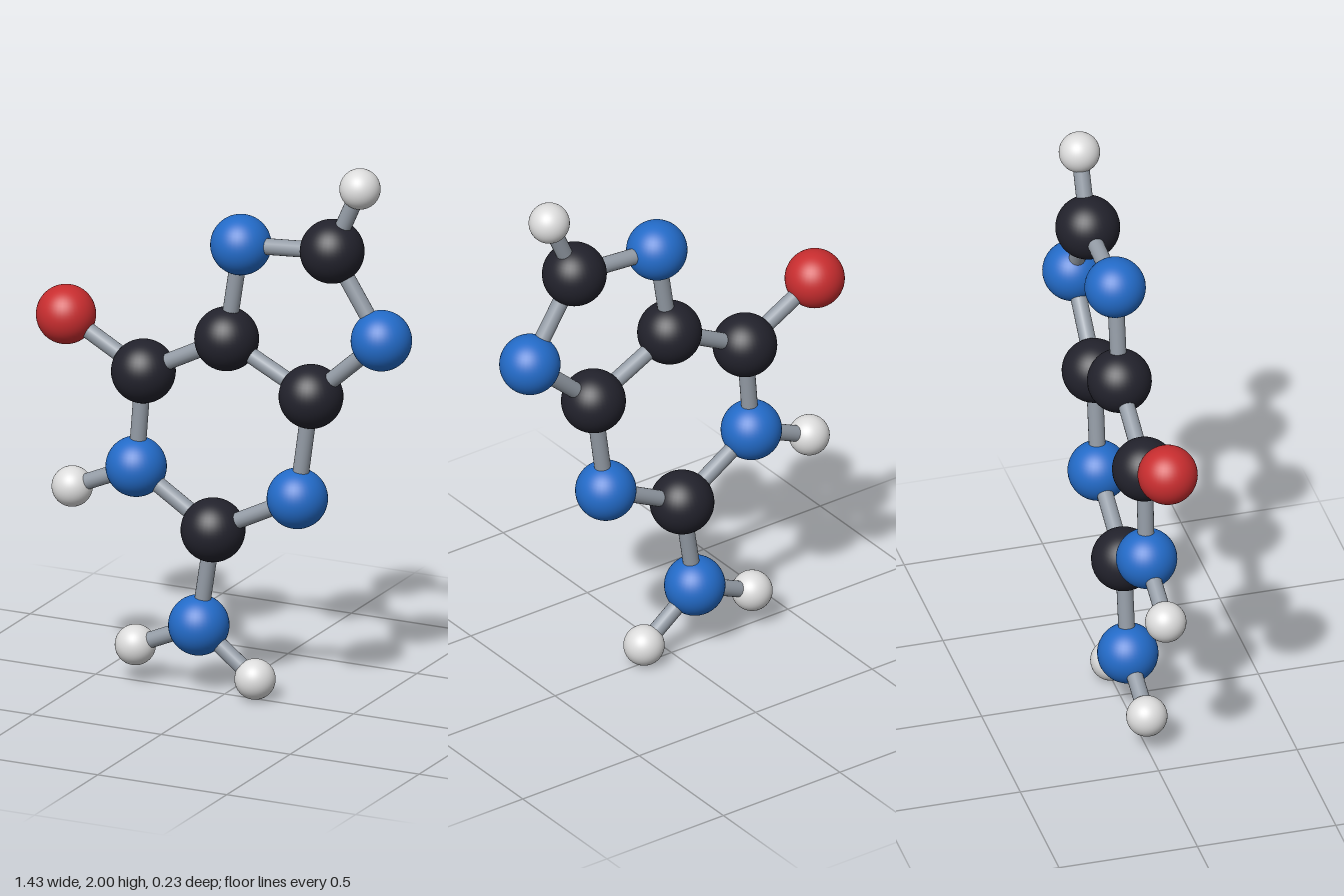
import * as THREE from 'three';

const material = (name, color) => new THREE.MeshStandardMaterial({ name, color });

export function createModel() {
  const model = new THREE.Group();
  model.name = 'ballAndStickModel';

  // Ball kinds: radius and colour
  const kinds = {
    carbon: { radius: 0.113, mat: material('charcoal', 0x22222c) },
    nitrogen: { radius: 0.107, mat: material('blue', 0x236bc8) },
    oxygen: { radius: 0.105, mat: material('red', 0xc82d2f) },
    hydrogen: { radius: 0.072, mat: material('offWhite', 0xdcdcdc) },
  };
  const bondMat = material('grey', 0x949ca6);
  for (const kind of Object.values(kinds)) {
    kind.geometry = new THREE.SphereGeometry(kind.radius, 40, 28);
  }

  // Balls, all in the plane z = 0
  const atoms = {
    C2: ['carbon', -0.045, 0.596],
    C4: ['carbon', 0.335, 1.14],
    C5: ['carbon', 0.008, 1.304],
    C6: ['carbon', -0.315, 1.139],
    C8: ['carbon', 0.417, 1.684],
    N1: ['nitrogen', -0.343, 0.786],
    N2: ['nitrogen', -0.1, 0.24],
    N3: ['nitrogen', 0.282, 0.759],
    N7: ['nitrogen', 0.063, 1.657],
    N9: ['nitrogen', 0.608, 1.384],
    O6: ['oxygen', -0.615, 1.304],
    H1: ['hydrogen', -0.591, 0.677],
    H2: ['hydrogen', -0.346, 0.132],
    H3: ['hydrogen', 0.118, 0.073],
    H8: ['hydrogen', 0.525, 1.928],
  };
  const centre = {};
  for (const [id, [kind, x, y]] of Object.entries(atoms)) {
    const ball = new THREE.Mesh(kinds[kind].geometry, kinds[kind].mat);
    ball.name = `${kind}Ball${id}`;
    ball.position.set(x, y, 0);
    centre[id] = ball.position;
    model.add(ball);
  }

  // Rods joining ball centres
  const bonds = [
    ['N1', 'C2'], ['C2', 'N3'], ['N3', 'C4'], ['C4', 'C5'], ['C5', 'C6'], ['C6', 'N1'], // six-sided ring
    ['C5', 'N7'], ['N7', 'C8'], ['C8', 'N9'], ['N9', 'C4'], // five-sided ring
    ['C6', 'O6'], ['N1', 'H1'], ['C2', 'N2'], ['N2', 'H2'], ['N2', 'H3'], ['C8', 'H8'], // side branches
  ];
  const up = new THREE.Vector3(0, 1, 0);
  for (const [a, b] of bonds) {
    const along = centre[b].clone().sub(centre[a]);
    const rod = new THREE.Mesh(
      new THREE.CylinderGeometry(0.029, 0.029, along.length(), 20, 1, true), bondMat);
    rod.name = `rod${a}to${b}`;
    rod.position.copy(centre[a]).addScaledVector(along, 0.5);
    rod.quaternion.setFromUnitVectors(up, along.normalize());
    model.add(rod);
  }
  return model;
}
